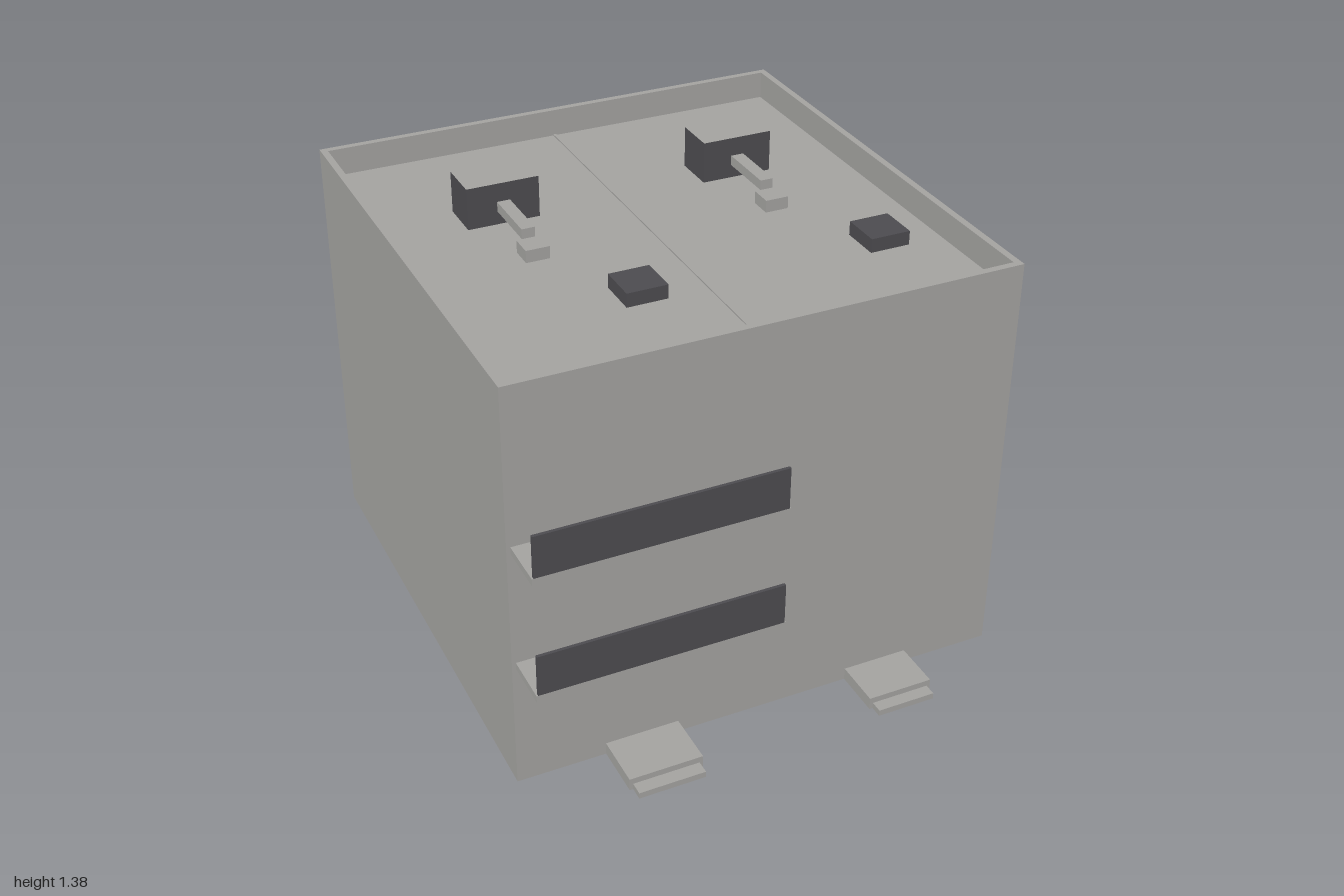
import * as THREE from 'three';

const gray = new THREE.MeshStandardMaterial({ color: 0xa3a29f, side: THREE.DoubleSide });
gray.name = 'warm grey';
const dark = new THREE.MeshStandardMaterial({ color: 0x4c4b4f, side: THREE.DoubleSide });
dark.name = 'dark grey';

// Face order of a box: +x, -x, +y, -y, +z, -z
const TOP = 2, BOTTOM = 3;

// Box from its limits [min, max] on each axis, with chosen faces left open
function box(name, [x0, x1], [y0, y1], [z0, z1], material, open = []) {
  const geometry = new THREE.BoxGeometry(x1 - x0, y1 - y0, z1 - z0);
  const index = Array.from(geometry.index.array);
  geometry.setIndex(index.filter((_, i) => !open.includes(Math.floor(i / 6))));
  if (!Array.isArray(material)) geometry.clearGroups();
  geometry.translate((x0 + x1) / 2, (y0 + y1) / 2, (z0 + z1) / 2);
  const mesh = new THREE.Mesh(geometry, material);
  mesh.name = name;
  return mesh;
}

function rectangle(target, x0, x1, z0, z1) {
  target.moveTo(x0, -z1).lineTo(x1, -z1).lineTo(x1, -z0).lineTo(x0, -z0).closePath();
  return target;
}

export function createModel() {
  const model = new THREE.Group();
  model.name = 'cabinet';

  const X = [-0.795, 0.795], Z = [-0.8, 0.788];
  const height = 1.34, deckY = 1.25, rim = 0.022;
  const inX = [X[0] + rim, X[1] - rim], inZ = [Z[0] + rim, Z[1] - rim];

  // Thin-walled body, open underneath
  model.add(box('bodyWalls', X, [0, height], Z, gray, [TOP, BOTTOM]));

  // Raised rim and sunken deck
  const ring = rectangle(new THREE.Shape(), ...X, ...Z);
  ring.holes.push(rectangle(new THREE.Path(), ...inX, ...inZ));
  const rimTop = new THREE.Mesh(new THREE.ShapeGeometry(ring).rotateX(-Math.PI / 2).translate(0, height, 0), gray);
  rimTop.name = 'rimTop';
  model.add(rimTop);
  model.add(box('rimInnerWalls', inX, [deckY, height], inZ, gray, [TOP, BOTTOM]));
  const deck = new THREE.Mesh(
    new THREE.ShapeGeometry(rectangle(new THREE.Shape(), ...inX, ...inZ)).rotateX(-Math.PI / 2).translate(0, deckY, 0), gray);
  deck.name = 'deck';
  model.add(deck);
  model.add(box('deckSeam', [-0.005, 0.005], [deckY, deckY + 0.004], inZ, gray, [BOTTOM]));

  // Two matching sets of deck fittings
  for (const [side, dx] of [['right', 0], ['left', 0.793]]) {
    const fitting = new THREE.Group();
    fitting.name = side + 'DeckFitting';
    fitting.position.x = dx;
    fitting.add(
      box('block', [-0.503, -0.27], [deckY, 1.385], [-0.38, -0.24], [dark, dark, gray, dark, dark, dark]),
      box('arm', [-0.407, -0.365], [1.293, 1.325], [-0.24, -0.038], gray),
      box('armFoot', [-0.423, -0.347], [deckY, 1.29], [-0.042, 0.032], gray),
      box('pad', [-0.265, -0.135], [deckY, 1.295], [0.27, 0.4], dark));
    model.add(fitting);
  }

  // Front shelves with an upright dark panel
  for (const [name, y] of [['lowerShelf', 0.415], ['upperShelf', 0.813]]) {
    const shelf = new THREE.Group();
    shelf.name = name;
    shelf.add(
      box('shelfPlate', [-0.783, -0.015], [y, y + 0.023], [0.784, 0.943], gray),
      box('shelfPanel', [-0.778, -0.02], [y + 0.023, y + 0.157], [0.933, 0.943], dark));
    model.add(shelf);
  }

  // Hollow feet: a deep plate and a lower lip, given as x limits and z of wall, step and tip
  const feet = [
    ['frontRightFoot', [-0.515, -0.28], Z[1], 0.957, 1.0],
    ['frontLeftFoot', [0.29, 0.502], Z[1], 0.943, 0.982],
    ['backRightFoot', [-0.503, -0.295], Z[0], -0.96, -1.0],
    ['backLeftFoot', [0.29, 0.498], Z[0], -0.96, -1.0],
  ];
  for (const [name, [x0, x1], wall, step, tip] of feet) {
    const foot = new THREE.Group();
    foot.name = name;
    const span = (a, b) => [Math.min(a, b), Math.max(a, b)];
    foot.add(
      box('footPlate', [x0, x1], [0, 0.04], span(wall, step), gray, [BOTTOM, wall > 0 ? 5 : 4]),
      box('footLip', [x0 + 0.011, x1 - 0.011], [0, 0.02], span(step, tip), gray, [BOTTOM, wall > 0 ? 5 : 4]));
    model.add(foot);
  }

  return model;
}
